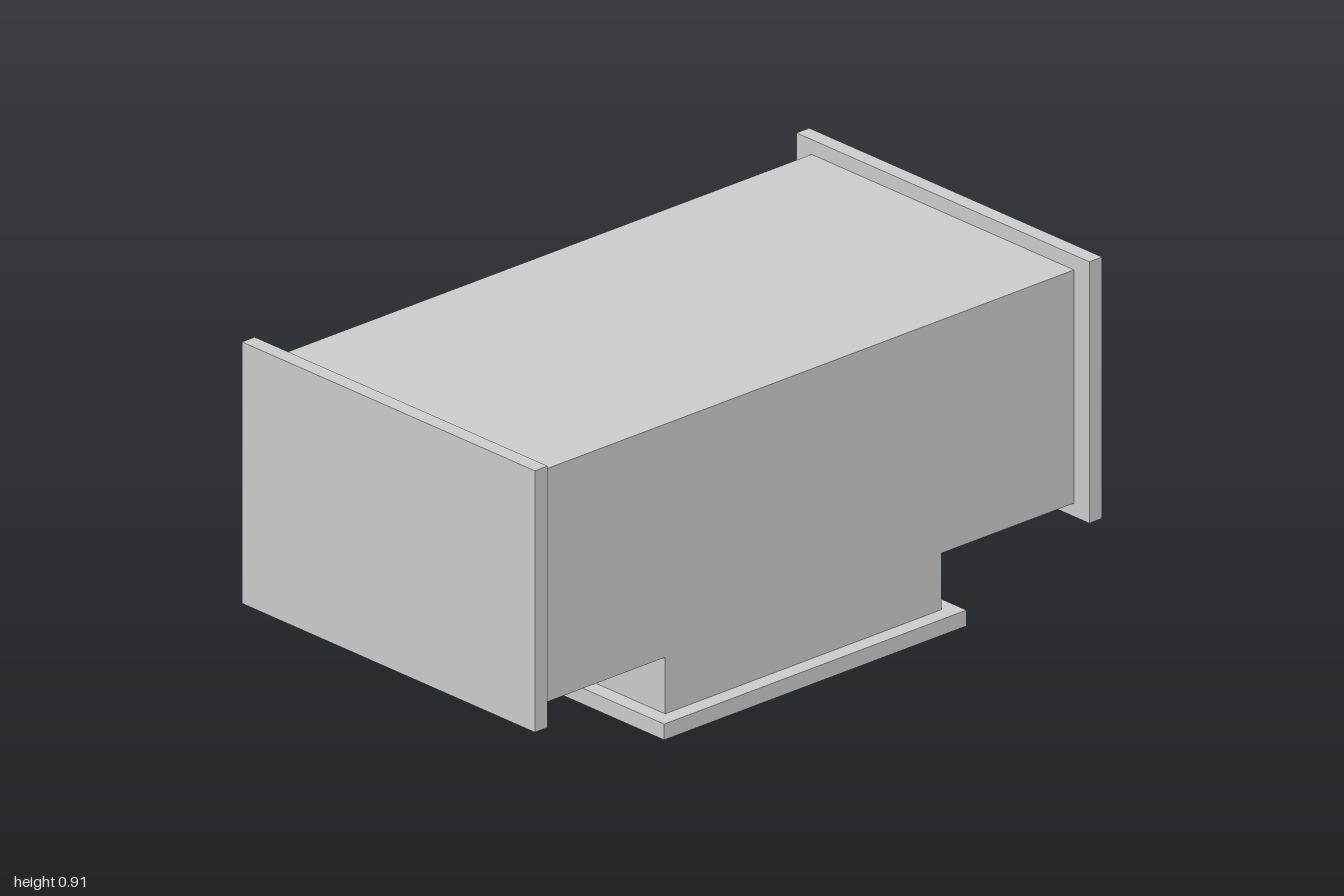
import * as THREE from 'three';

export function createModel() {
  const group = new THREE.Group();
  const material = new THREE.MeshStandardMaterial({ color: 0xcccccc, flatShading: true });

  function add(name, geometry, x, y, z) {
    const mesh = new THREE.Mesh(geometry, material);
    mesh.name = name;
    mesh.position.set(x, y, z);
    group.add(mesh);
  }

  // Duct body and branch neck: one T-shaped profile extruded front to back
  const depth = 1.0, bodyX = 0.955, neckX = 0.487;
  const bodyBottom = 0.205, bodyTop = 0.866, plate = 0.045;
  const profile = new THREE.Shape([
    [-neckX, plate], [neckX, plate], [neckX, bodyBottom], [bodyX, bodyBottom],
    [bodyX, bodyTop], [-bodyX, bodyTop], [-bodyX, bodyBottom], [-neckX, bodyBottom],
  ].map(([x, y]) => new THREE.Vector2(x, y)));
  add('teeBody', new THREE.ExtrudeGeometry(profile, { depth, bevelEnabled: false }), 0, 0, -depth / 2);

  // Mirrored end flanges
  const flangeBottom = 0.167, flangeTop = 0.908;
  for (const [name, side] of [['leftFlange', 1], ['rightFlange', -1]]) {
    add(name, new THREE.BoxGeometry(plate, flangeTop - flangeBottom, 1.116),
      side * (bodyX + plate / 2), (flangeTop + flangeBottom) / 2, 0);
  }

  // Flange under the branch
  add('bottomFlange', new THREE.BoxGeometry(1.066, plate, 1.092), 0, plate / 2, 0);

  return group;
}
